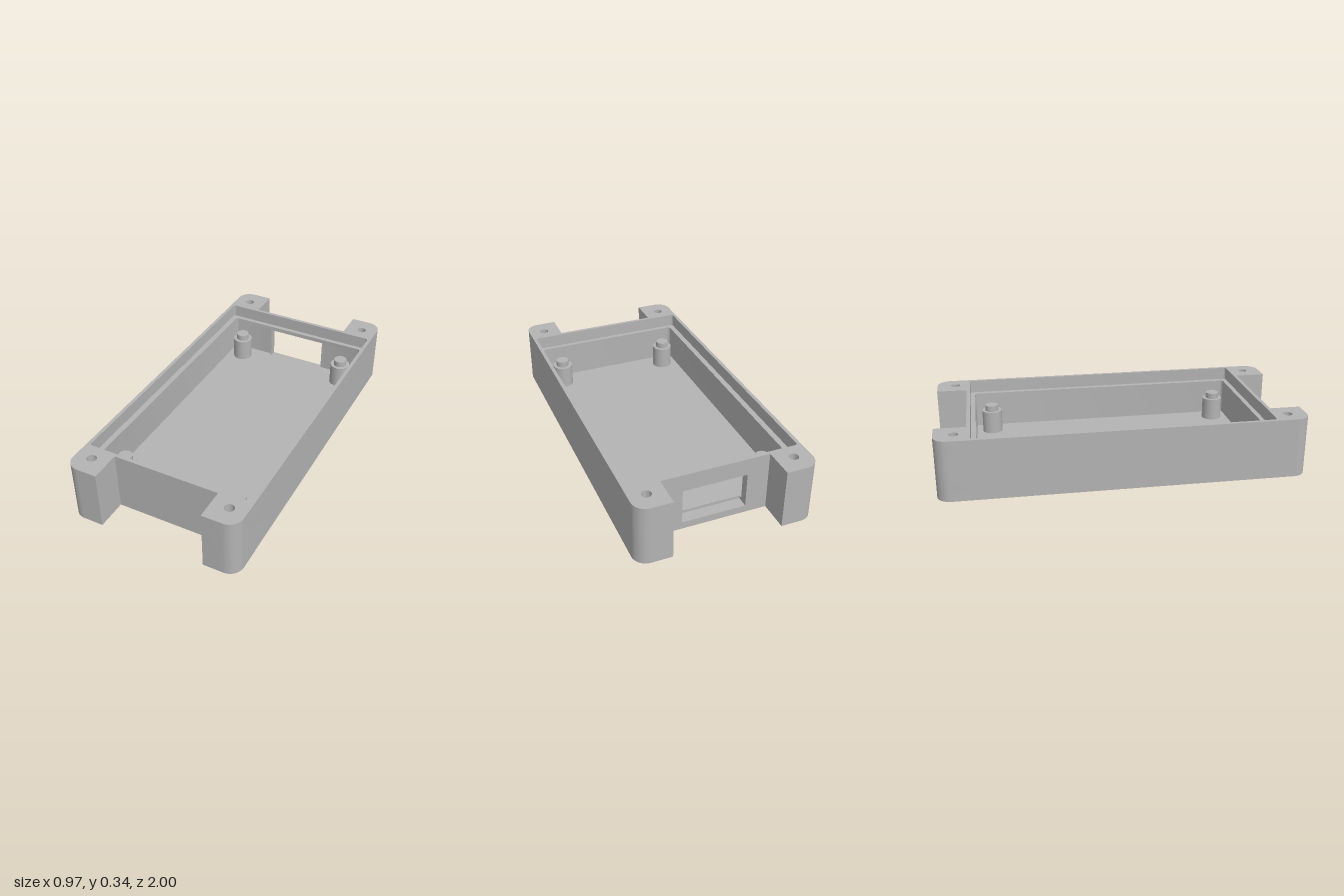
import * as THREE from 'three';
import { toCreasedNormals } from 'three/addons/utils/BufferGeometryUtils.js';

const HALF_X = 0.485, HALF_Z = 1, CORNER = 0.075;      // outer block
const NOTCH_X = 0.297, NOTCH_Z = 0.83;                 // end notches
const CAVITY = [0.433, 0.783, 0.02];                   // half x, half z, corner radius
const REBATE = [0.465, 0.81, 0.015];
const WINDOW_X = 0.177, SLOT_Z = 0.764;
const HEIGHT = 0.335, SILL = 0.04, FLOOR = 0.057, WINDOW_TOP = 0.238, LEDGE = 0.262;

// Clockwise rounded rectangle, starting and ending on its back edge
function roundedLoop(path, [hx, hz, r]) {
  const q = Math.PI / 2;
  path.absarc(hx - r, hz - r, r, q, 0, true);
  path.absarc(hx - r, -hz + r, r, 0, -q, true);
  path.absarc(-hx + r, -hz + r, r, -q, -2 * q, true);
  path.absarc(-hx + r, hz - r, r, 2 * q, q, true);
  return path;
}

// Plan outline (shape y = -z); the window may cut a floor slot or open into the cavity
function outline(cut) {
  const s = new THREE.Shape(), q = Math.PI / 2;
  const ax = HALF_X - CORNER, az = HALF_Z - CORNER;
  s.moveTo(-ax, -HALF_Z);
  s.lineTo(-NOTCH_X, -HALF_Z);
  s.lineTo(-NOTCH_X, -NOTCH_Z);
  s.lineTo(NOTCH_X, -NOTCH_Z);
  s.lineTo(NOTCH_X, -HALF_Z);
  s.absarc(ax, -az, CORNER, -q, 0, false);
  s.absarc(ax, az, CORNER, 0, q, false);
  s.lineTo(NOTCH_X, HALF_Z);
  s.lineTo(NOTCH_X, NOTCH_Z);
  if (cut) {
    const depth = cut === 'slot' ? SLOT_Z : CAVITY[1];
    s.lineTo(WINDOW_X, NOTCH_Z);
    s.lineTo(WINDOW_X, depth);
    if (cut === 'cavity') roundedLoop(s, CAVITY);
    s.lineTo(-WINDOW_X, depth);
    s.lineTo(-WINDOW_X, NOTCH_Z);
  }
  s.lineTo(-NOTCH_X, NOTCH_Z);
  s.lineTo(-NOTCH_X, HALF_Z);
  s.absarc(-ax, az, CORNER, q, 2 * q, false);
  s.absarc(-ax, -az, CORNER, 2 * q, 3 * q, false);
  return s;
}

// Blind screw holes in the four corner blocks
function addScrewHoles(shape) {
  for (const x of [-0.393, 0.393]) for (const z of [-0.895, 0.895]) {
    shape.holes.push(new THREE.Path().absarc(x, z, 0.026, 0, Math.PI * 2, true));
  }
  return shape;
}

export function createModel() {
  const model = new THREE.Group();
  model.name = 'enclosureBase';
  const grey = new THREE.MeshStandardMaterial({ color: 0xb3b3b3 });
  grey.name = 'grey plastic';

  const add = (name, geometry) => {
    const mesh = new THREE.Mesh(geometry, grey);
    mesh.name = name;
    model.add(mesh);
    return mesh;
  };
  const layer = (name, shape, y0, y1) => {
    const g = new THREE.ExtrudeGeometry(shape, { depth: y1 - y0, bevelEnabled: false, curveSegments: 16 });
    g.rotateX(-Math.PI / 2).translate(0, y0, 0);
    add(name, toCreasedNormals(g, 0.5));
  };

  // Floor, with a shallow slot running in from the window sill
  layer('bottomPlate', outline(), 0, SILL);
  layer('floor', outline('slot'), SILL, FLOOR);

  // Walls with the window opening, then the lintel above it
  layer('walls', addScrewHoles(outline('cavity')), FLOOR, WINDOW_TOP);
  const lintel = addScrewHoles(outline());
  lintel.holes.push(roundedLoop(new THREE.Path(), CAVITY));
  layer('upperWalls', lintel, WINDOW_TOP, LEDGE);

  // Wider rebate for the lid
  const rim = addScrewHoles(outline());
  rim.holes.push(roundedLoop(new THREE.Path(), REBATE));
  layer('lidRim', rim, LEDGE, HEIGHT);

  // Mounting posts with locating pegs
  const post = (name, r, y0, y1, x, z) =>
    add(name, new THREE.CylinderGeometry(r, r, y1 - y0, 40)).position.set(x, (y0 + y1) / 2, z);
  for (const x of [-0.34, 0.34]) for (const z of [-0.688, 0.688]) {
    post('mountingPost', 0.058, SILL, 0.187, x, z);
    post('locatingPeg', 0.038, 0.18, 0.221, x, z);
  }
  return model;
}
